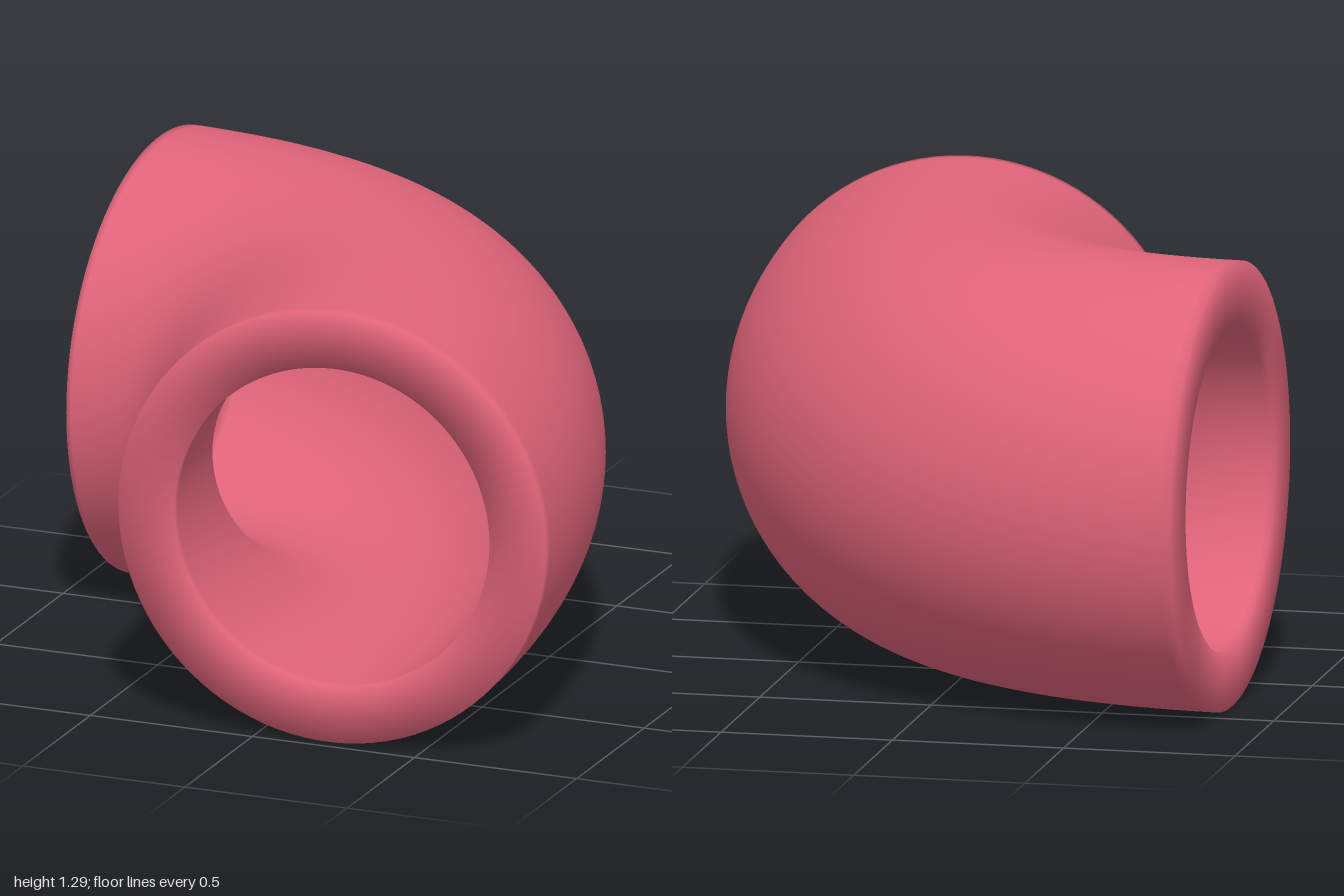
import * as THREE from 'three';

const OUTER = 0.645, BORE = 0.475, ROWS = 80, SIDES = 96;

// Centre line of the bend, lying level at half the pipe's height
const path = new THREE.QuadraticBezierCurve3(
  new THREE.Vector3(-0.84, OUTER, -0.356),
  new THREE.Vector3(0.158, OUTER, -0.309),
  new THREE.Vector3(0.23, OUTER, 0.962)
);

// Closed pipe wall: rings run along the outside, then back through the bore
function pipeWall() {
  const rings = [];
  for (let i = 0; i <= ROWS; i++) rings.push({ t: i / ROWS, r: OUTER, side: 1 });
  for (let i = ROWS; i >= 0; i--) rings.push({ t: i / ROWS, r: BORE, side: -1 });

  const positions = [], normals = [], index = [];
  const up = new THREE.Vector3(0, 1, 0);
  rings.forEach(({ t, r, side }) => {
    const centre = path.getPoint(t), tangent = path.getTangent(t);
    const across = new THREE.Vector3().crossVectors(tangent, up);
    const lean = t === 0 ? -1 : t === 1 ? 1 : 0; // soft shading over the end rims
    for (let k = 0; k < SIDES; k++) {
      const a = (k / SIDES) * Math.PI * 2;
      const radial = across.clone().multiplyScalar(Math.cos(a)).addScaledVector(up, Math.sin(a));
      positions.push(...centre.clone().addScaledVector(radial, r).toArray());
      normals.push(...radial.multiplyScalar(side).addScaledVector(tangent, lean).normalize().toArray());
    }
  });

  // Join each ring to the next; the last joins the first to close the rim
  for (let j = 0; j < rings.length; j++) {
    const next = (j + 1) % rings.length;
    for (let k = 0; k < SIDES; k++) {
      const k2 = (k + 1) % SIDES;
      const a = j * SIDES + k, b = next * SIDES + k;
      const c = next * SIDES + k2, d = j * SIDES + k2;
      index.push(a, b, c, a, c, d);
    }
  }

  const geometry = new THREE.BufferGeometry();
  geometry.setAttribute('position', new THREE.Float32BufferAttribute(positions, 3));
  geometry.setAttribute('normal', new THREE.Float32BufferAttribute(normals, 3));
  geometry.setIndex(index);
  return geometry;
}

export function createModel() {
  const group = new THREE.Group();
  group.name = 'pipeElbow';
  const rose = new THREE.MeshStandardMaterial({ color: 0xe0647a });
  rose.name = 'rose';
  const pipe = new THREE.Mesh(pipeWall(), rose);
  pipe.name = 'bentPipe';
  group.add(pipe);
  return group;
}
